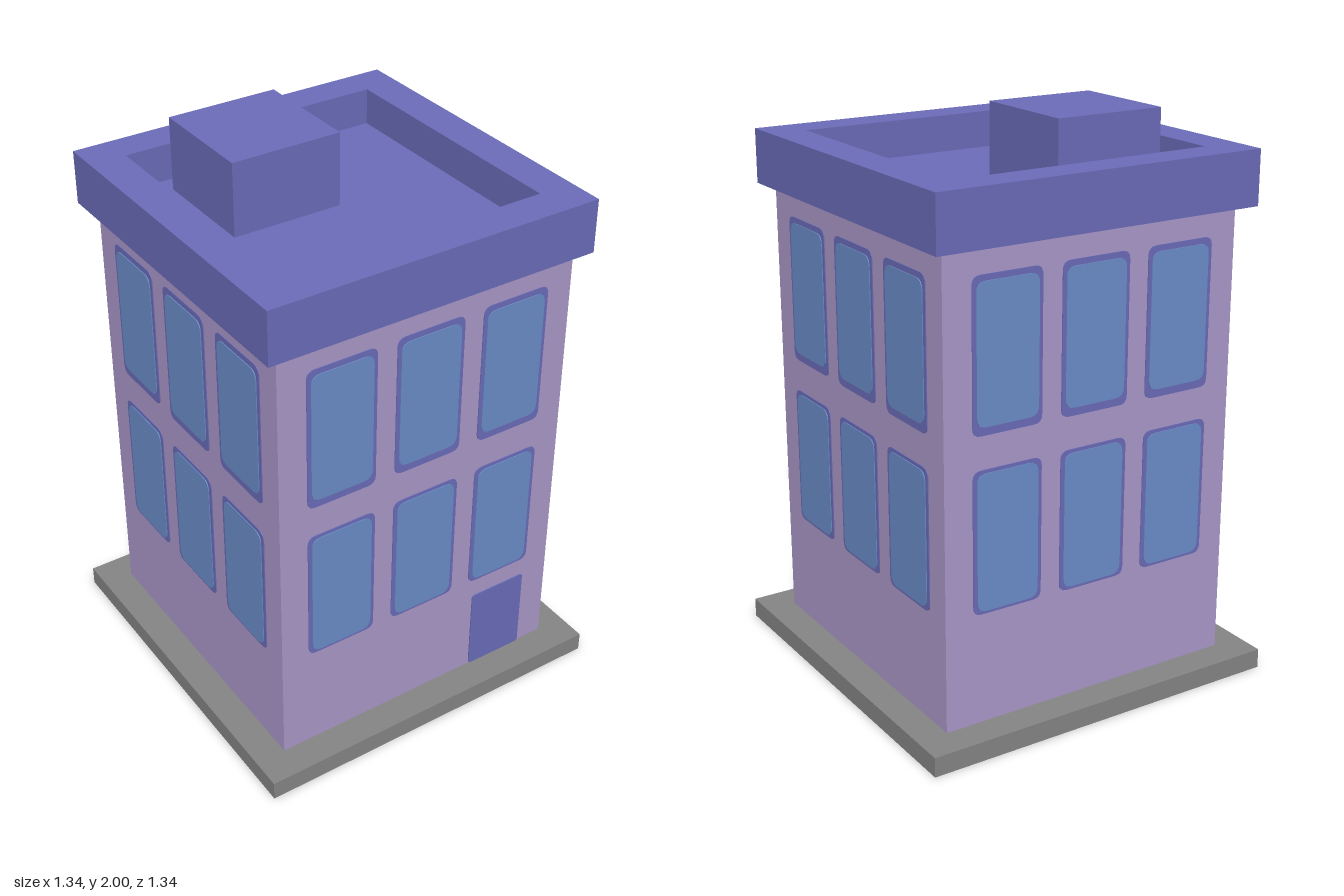
import * as THREE from 'three';

const mat = (name, color) => {
  const m = new THREE.MeshStandardMaterial({ color });
  m.name = name;
  return m;
};

// Rectangle outline (rounded when r > 0), from corner x0,y0 to x1,y1
function rect(x0, y0, x1, y1, r = 0, Type = THREE.Shape) {
  const s = new Type();
  if (!r) return s.setFromPoints([[x0, y0], [x1, y0], [x1, y1], [x0, y1], [x0, y0]].map(p => new THREE.Vector2(...p)));
  s.moveTo(x0 + r, y0);
  s.lineTo(x1 - r, y0);
  s.quadraticCurveTo(x1, y0, x1, y0 + r);
  s.lineTo(x1, y1 - r);
  s.quadraticCurveTo(x1, y1, x1 - r, y1);
  s.lineTo(x0 + r, y1);
  s.quadraticCurveTo(x0, y1, x0, y1 - r);
  s.lineTo(x0, y0 + r);
  s.quadraticCurveTo(x0, y0, x0 + r, y0);
  return s;
}

// Box without some of its faces (order: +x, -x, +y, -y, +z, -z)
function openBox(w, h, d, omitted) {
  const g = new THREE.BoxGeometry(w, h, d);
  const index = Array.from(g.index.array).filter((_, i) => !omitted.includes(Math.floor(i / 6)));
  g.setIndex(index);
  g.clearGroups();
  return g;
}

export function createModel() {
  const model = new THREE.Group();
  model.name = 'building';
  const wallMat = mat('lilac wall', 0xaa98c9);
  const roofMat = mat('indigo trim', 0x6b6cb9);
  const glassMat = mat('blue glass', 0x6b8dc9);
  const baseMat = mat('grey pavement', 0x858585);
  wallMat.side = baseMat.side = THREE.DoubleSide;

  const add = (name, geometry, material, x = 0, y = 0, z = 0, parent = model) => {
    const m = new THREE.Mesh(geometry, material);
    m.name = name;
    m.position.set(x, y, z);
    parent.add(m);
    return m;
  };

  // Pavement slab, hollow underneath
  add('pavement', openBox(1.34, 0.07, 1.34, [3]), baseMat, 0, 0.035, 0);

  // Wall shell
  add('walls', openBox(1.12, 1.63, 1.12, [2, 3]), wallMat, 0, 0.875, 0);

  // Parapet ring, sunken roof floor and rooftop box
  const ring = rect(-0.61, -0.6, 0.61, 0.615);
  ring.holes.push(rect(-0.48, -0.47, 0.48, 0.49, 0, THREE.Path));
  const parapet = new THREE.ExtrudeGeometry(ring, { depth: 0.19, bevelEnabled: false });
  parapet.rotateX(-Math.PI / 2);
  add('parapet', parapet, roofMat, 0, 1.68, 0);
  add('roofFloor', new THREE.BoxGeometry(0.98, 0.06, 0.98), roofMat, 0, 1.71, -0.01);
  add('rooftopBox', new THREE.BoxGeometry(0.4, 0.28, 0.4), roofMat, -0.15, 1.86, -0.22);

  // Two rows of three windows on each side
  const plate = (shape, depth) => new THREE.ExtrudeGeometry(shape, { depth, bevelEnabled: false, curveSegments: 4 });
  const rows = [
    { frame: [1.072, 1.588], glass: [1.1, 1.568] },
    { frame: [0.462, 0.958], glass: [0.472, 0.946] },
  ];
  for (let side = 0; side < 4; side++) {
    const face = new THREE.Group();
    face.name = 'windows' + ['Front', 'Left', 'Back', 'Right'][side];
    face.rotation.y = side * Math.PI / 2;
    for (const { frame, glass } of rows) {
      for (const x of [-0.328, 0.004, 0.336]) {
        add('windowFrame', plate(rect(-0.129, frame[0], 0.129, frame[1], 0.03), 0.003), roofMat, x, 0, 0.56, face);
        add('windowGlass', plate(rect(-0.115, glass[0], 0.115, glass[1], 0.035), 0.006), glassMat, x, 0, 0.56, face);
      }
    }
    model.add(face);
  }

  // Front door
  add('door', plate(rect(0.23, 0.07, 0.455, 0.39, 0.012), 0.004), roofMat, 0, 0, 0.56);
  return model;
}
